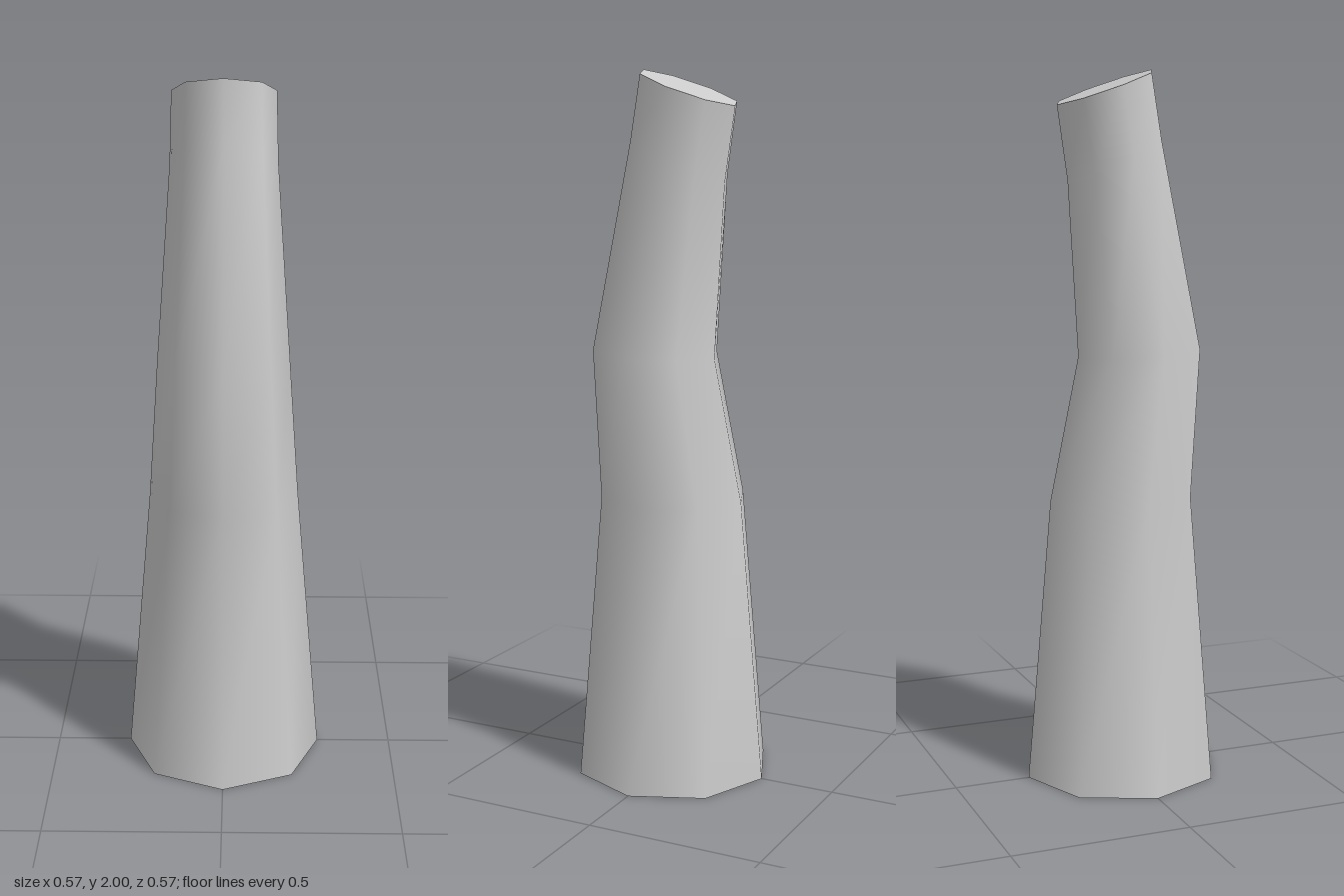
import * as THREE from 'three';
import { mergeVertices } from 'three/addons/utils/BufferGeometryUtils.js';

// Rings from bottom to top: height, z centre, x radius, z radius, rise of the front edge
const RINGS = [
  [0, 0, 0.284, 0.284, 0],
  [0.812, 0.001, 0.213, 0.213, 0.006],
  [1.222, 0.057, 0.184, 0.184, 0.012],
  [1.76, -0.018, 0.147, 0.138, 0.065],
  [1.95, -0.047, 0.142, 0.139, 0.05],
];

export function createModel() {
  const group = new THREE.Group();
  group.name = 'bentTrunk';

  // Eight-sided tube with caps; the seam is welded for smooth sides, cap edges stay sharp
  let geometry = new THREE.CylinderGeometry(1, 1, RINGS.length - 1, 8, RINGS.length - 1);
  geometry.deleteAttribute('uv');
  geometry = mergeVertices(geometry);

  // Move each level to its ring: taper, bend and tilt
  const p = geometry.attributes.position;
  for (let i = 0; i < p.count; i++) {
    const level = Math.round(p.getY(i) + (RINGS.length - 1) / 2);
    const [y, cz, rx, rz, rise] = RINGS[level];
    const z = p.getZ(i);
    p.setXYZ(i, p.getX(i) * rx, y + z * rise, cz + z * rz);
  }
  geometry.computeVertexNormals();

  const trunk = new THREE.Mesh(geometry, new THREE.MeshStandardMaterial({ color: 0xcccccc }));
  trunk.name = 'trunk';
  group.add(trunk);
  return group;
}
